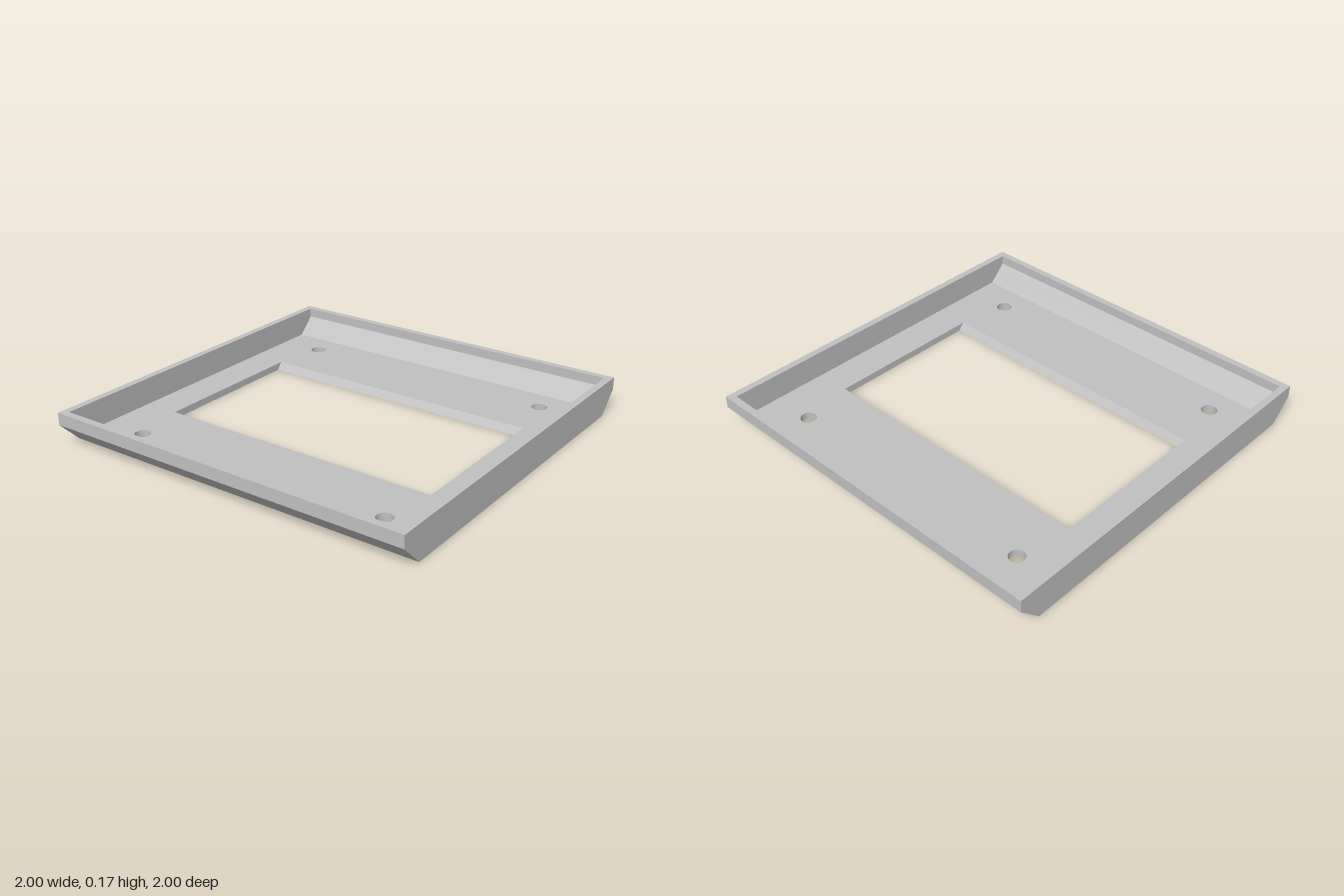
import * as THREE from 'three';
import { toCreasedNormals } from 'three/addons/utils/BufferGeometryUtils.js';

const HALF = 0.923;     // half of the square outline
const T = 0.035;        // wall and floor thickness
const H = 0.165;        // total height
const CH = 0.105;       // size of the 45 degree chamfer
const INNER = HALF - T;
const FLOOR_Z = 0.8035; // half depth of the flat inner floor

// Extrude a (z, y) profile along x, centred on x = 0
function extrudeAlongX(points, length) {
  const shape = new THREE.Shape(points.map(([z, y]) => new THREE.Vector2(z, y)));
  const geo = new THREE.ExtrudeGeometry(shape, { depth: length, bevelEnabled: false });
  geo.rotateY(-Math.PI / 2);
  geo.translate(length / 2, 0, 0);
  return geo;
}

function floorGeometry() {
  const rect = (Type, a, b) => new Type([[-a, -b], [a, -b], [a, b], [-a, b]].map(([x, y]) => new THREE.Vector2(x, y)));
  const shape = rect(THREE.Shape, INNER, FLOOR_Z);
  const winX = 0.715, winTop = 0.402, winBottom = 0.376;
  shape.holes.push(rect(THREE.Path, winX, winTop));

  // Screw holes
  for (const sx of [-1, 1]) for (const sz of [-1, 1]) {
    shape.holes.push(new THREE.Path().absarc(sx * 0.665, sz * 0.665, 0.038, 0, Math.PI * 2, true));
  }
  const geo = new THREE.ExtrudeGeometry(shape, { depth: T, bevelEnabled: false, curveSegments: 32 });
  geo.rotateX(-Math.PI / 2);

  // Slope the front and back edges of the window inwards at the underside
  const p = geo.attributes.position;
  for (let i = 0; i < p.count; i++) {
    if (p.getY(i) < T / 2 && Math.abs(Math.abs(p.getZ(i)) - winTop) < 1e-4) {
      p.setZ(i, Math.sign(p.getZ(i)) * winBottom);
    }
  }
  geo.computeVertexNormals();
  return toCreasedNormals(geo, 0.5);
}

export function createModel() {
  const grey = new THREE.MeshStandardMaterial({ color: 0xc0c0c0 });
  grey.name = 'light grey';
  const model = new THREE.Group();
  model.name = 'frameTray';
  const add = (name, geo) => {
    const mesh = new THREE.Mesh(geo, grey);
    mesh.name = name;
    model.add(mesh);
    return mesh;
  };

  add('floor', floorGeometry());

  // Chamfered front and back walls
  const rail = extrudeAlongX([
    [FLOOR_Z, 0], [HALF - CH, 0], [HALF, CH], [HALF, H],
    [INNER, H], [INNER, 0.1195], [FLOOR_Z, T],
  ], INNER * 2);
  add('frontWall', rail);
  add('backWall', rail).rotation.y = Math.PI;

  // Flat end walls closing the section
  const end = extrudeAlongX([
    [-HALF + CH, 0], [HALF - CH, 0], [HALF, CH], [HALF, H], [-HALF, H], [-HALF, CH],
  ], T);
  add('leftWall', end).position.x = HALF - T / 2;
  add('rightWall', end).position.x = -HALF + T / 2;

  // The whole tray sits slightly turned
  model.rotation.y = -THREE.MathUtils.degToRad(5);
  return model;
}
